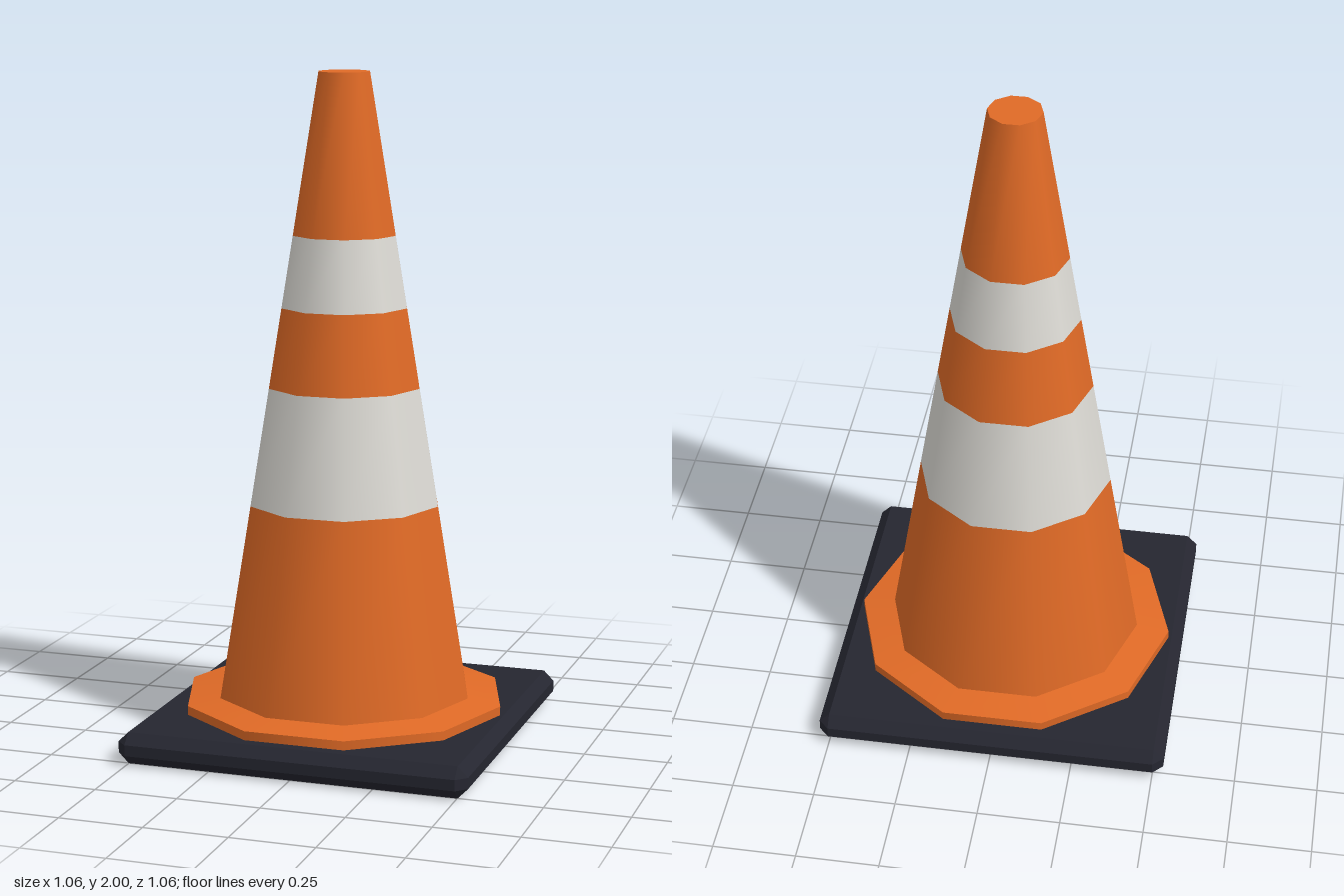
import * as THREE from 'three';
import { ConvexGeometry } from 'three/addons/geometries/ConvexGeometry.js';

const SIDES = 10;

function material(name, color) {
  const m = new THREE.MeshStandardMaterial({ color });
  m.name = name;
  return m;
}

export function createModel() {
  const group = new THREE.Group();
  group.name = 'trafficCone';
  const orange = material('orange', 0xe06a26);
  const white = material('reflectiveWhite', 0xdedcd6);
  const black = material('blackRubber', 0x252630);

  const add = (name, geometry, mat) => {
    const mesh = new THREE.Mesh(geometry, mat);
    mesh.name = name;
    group.add(mesh);
  };

  // Ten-sided ring section with a corner on the x axis
  const section = (name, y0, y1, r0, r1, mat, open = true) => {
    const g = new THREE.CylinderGeometry(r1, r0, y1 - y0, SIDES, 1, open);
    g.rotateY(Math.PI / 2).translate(0, (y0 + y1) / 2, 0);
    add(name, g, mat);
  };

  // Square rubber base, chamfered on every edge
  const half = 0.532, c = 0.031, h = 0.095;
  const points = [];
  for (const sx of [-1, 1]) for (const sz of [-1, 1]) for (const top of [0, 1]) {
    const edgeY = top ? h - c : c;
    points.push(
      new THREE.Vector3(sx * (half - c), top * h, sz * (half - c)),
      new THREE.Vector3(sx * half, edgeY, sz * (half - c)),
      new THREE.Vector3(sx * (half - c), edgeY, sz * half)
    );
  }
  add('base', new ConvexGeometry(points), black);

  // Flange: upright rim and gently sloping top
  section('flangeRim', 0.09, 0.122, 0.491, 0.491, orange);
  section('flangeTop', 0.122, 0.137, 0.491, 0.39, orange);

  // Tapered body, split into coloured bands
  const bottom = 0.137, tip = 2;
  const radius = (y) => THREE.MathUtils.mapLinear(y, bottom, tip, 0.39, 0.079);
  const bands = [
    ['lowerBody', bottom, 0.72, orange],
    ['wideStripe', 0.72, 1.072, white],
    ['middleBody', 1.072, 1.31, orange],
    ['narrowStripe', 1.31, 1.523, white],
    ['upperBody', 1.523, tip, orange],
  ];
  for (const [name, y0, y1, mat] of bands) {
    section(name, y0, y1, radius(y0), radius(y1), mat);
  }

  // Closed flat tip
  const cap = new THREE.CircleGeometry(radius(tip), SIDES);
  cap.rotateX(-Math.PI / 2).translate(0, tip, 0);
  add('tipCap', cap, orange);

  return group;
}
